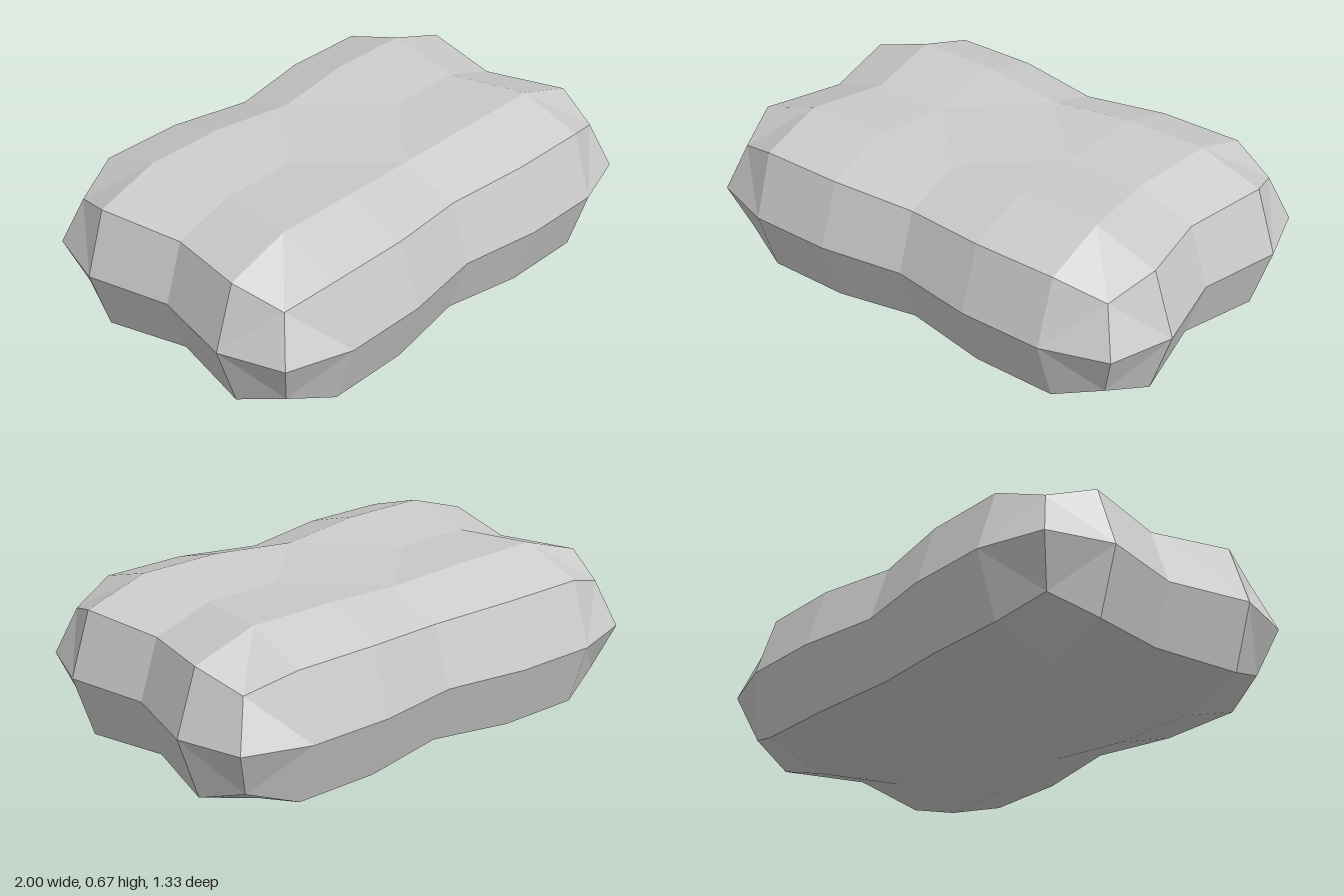
import * as THREE from 'three';

const STEP = 1 / 3;              // grid spacing of the blank block
const HALF = [1, STEP, 2 / 3];   // half sizes in x, y, z
const ROUND = [1, 1, 3 / 4, 5 / 9]; // bevel factor on a face, an edge, a corner
const WAIST = 0.922;             // pinch around the two middle planes

const near = (a, b) => Math.abs(a - b) < 1e-4;

export function createModel() {
  const geometry = new THREE.BoxGeometry(2, 2 * STEP, 4 * STEP, 6, 2, 4);
  const pos = geometry.attributes.position;
  const corner = [];

  // Round the edges and corners, then pinch the waist
  for (let i = 0; i < pos.count; i++) {
    const p = [pos.getX(i), pos.getY(i), pos.getZ(i)];
    const outer = p.map((v, a) => near(Math.abs(v), HALF[a]));
    const sides = outer.filter(Boolean).length;
    corner[i] = sides === 3;
    const midX = near(p[0], 0), midZ = near(p[2], 0);
    let [x, y, z] = p.map((v, a) =>
      outer[a] ? Math.sign(v) * (HALF[a] - STEP * (1 - ROUND[sides])) : v);
    if (midX || midZ) y *= WAIST;
    if (midX) z *= WAIST;
    if (midZ) x *= WAIST;
    pos.setXYZ(i, x, y + STEP, z);
  }

  // Split each quad symmetrically: corner quads through the corner,
  // all others across the line that points away from the face centre
  const old = geometry.index.array, index = [];
  const start = new THREE.BoxGeometry(2, 2 * STEP, 4 * STEP, 6, 2, 4).attributes.position;
  const dist = (i) => Math.hypot(start.getX(i), start.getY(i), start.getZ(i));
  for (let q = 0; q < old.length; q += 6) {
    const a = old[q], b = old[q + 1], d = old[q + 2], c = old[q + 4];
    const far = [a, b, c, d].reduce((m, v) => (dist(v) > dist(m) ? v : m));
    const farOnAC = far === a || far === c;
    const hasCorner = [a, b, c, d].some((v) => corner[v]);
    if (farOnAC === hasCorner) index.push(a, b, c, a, c, d);
    else index.push(a, b, d, b, c, d);
  }
  geometry.setIndex(index);

  const flat = geometry.toNonIndexed();
  flat.computeVertexNormals();
  const body = new THREE.Mesh(flat,
    new THREE.MeshStandardMaterial({ color: 0xcccccc, flatShading: true }));
  body.name = 'pinchedBlock';

  const model = new THREE.Group();
  model.name = 'roundedBlock';
  model.add(body);
  return model;
}
